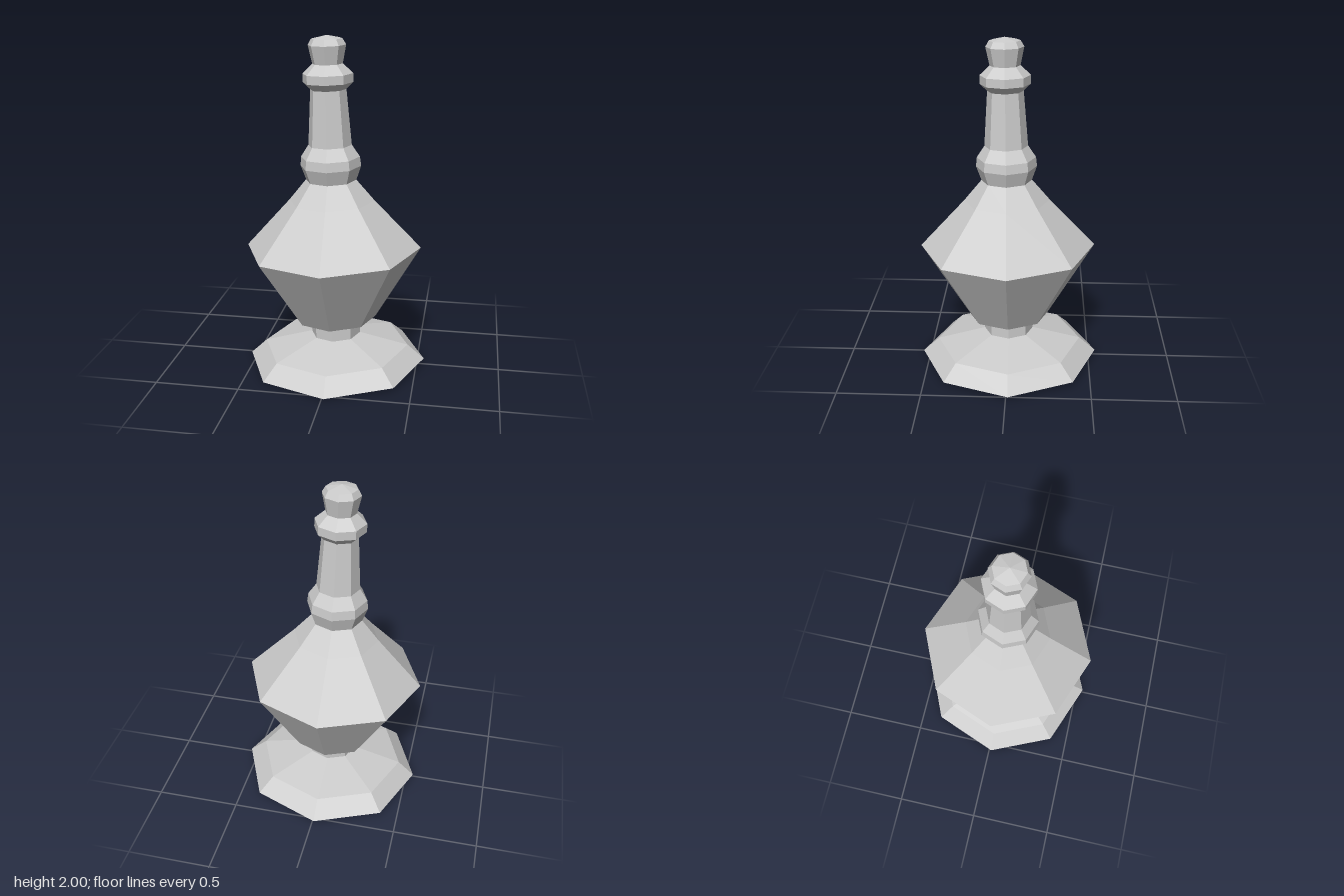
import * as THREE from 'three';

const SIDES = 8;
const material = new THREE.MeshStandardMaterial({ color: 0xcccccc, flatShading: true });

// Turned eight-sided part; profile points are [radius, height], listed with the outside going up
function turned(name, profile) {
  const points = profile.map(([r, y]) => new THREE.Vector2(r, y));
  const mesh = new THREE.Mesh(new THREE.LatheGeometry(points, SIDES, 0.025), material);
  mesh.name = name;
  return mesh;
}

export function createModel() {
  const bottle = new THREE.Group();
  bottle.name = 'bottle';

  bottle.add(
    // Spreading foot, hollow underneath, with a flat rim
    turned('foot', [
      [0.135, 0.13], [0.39, 0.06], [0.415, 0], [0.545, 0], [0.445, 0.09], [0.15, 0.165],
    ]),
    // Short stem with a deep bore open from below
    turned('stem', [
      [0, 0.5], [0.135, 0.5], [0.135, 0.13],
    ]),
    turned('stemOutside', [[0.15, 0.165], [0.15, 0.28]]),
    // Wide belly and sloping shoulder
    turned('body', [
      [0.14, 0.28], [0.25, 0.28], [0.527, 0.73], [0.255, 1.02], [0.15, 1.145],
    ]),
    // Swelling at the bottom of the neck
    turned('neckCollar', [
      [0.15, 1.145], [0.18, 1.23], [0.174, 1.285], [0.128, 1.355],
    ]),
    turned('neck', [[0.128, 1.355], [0.105, 1.68]]),
    // Ring under the stopper
    turned('lip', [
      [0.105, 1.68], [0.147, 1.72], [0.147, 1.77], [0.088, 1.825],
    ]),
    turned('stopper', [
      [0.088, 1.825], [0.11, 1.93], [0.09, 1.965], [0, 1.985],
    ]),
  );

  // The whole bottle leans slightly
  bottle.rotation.set(0.014, 0, 0.027);
  bottle.position.y = 0.0155;

  const model = new THREE.Group();
  model.add(bottle);
  return model;
}
